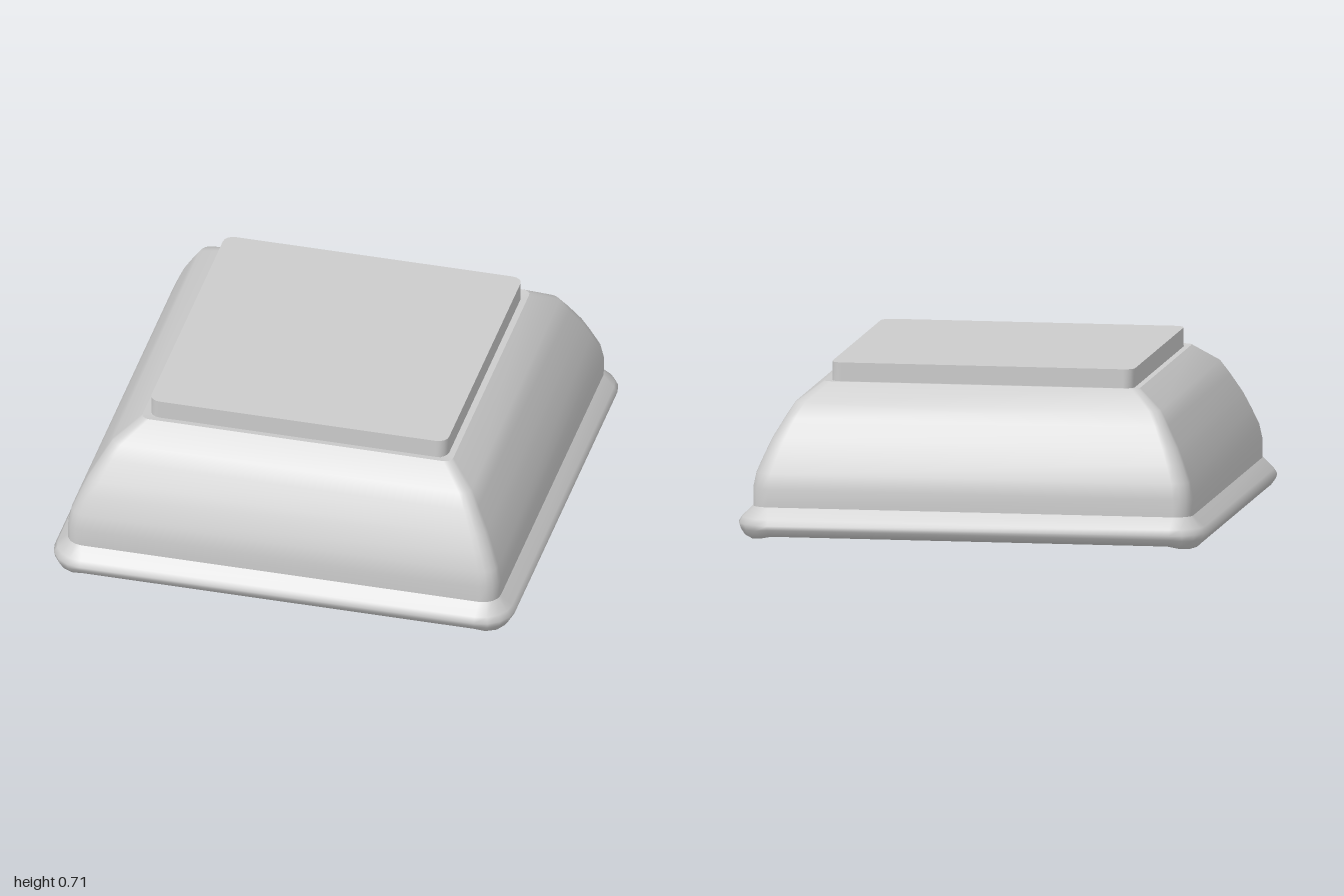
import * as THREE from 'three';

const STEPS = 4; // segments per rounded corner

// Rounded-square rings swept through profile points [halfWidth, y, cornerRadius, cornerDrop]
function loft(profile) {
  const pos = [], index = [];
  const n = 4 * (STEPS + 1);
  for (const [r, y, c, drop = 0] of profile) {
    for (let k = 0; k < 4; k++) {
      const mid = Math.PI / 4 + k * Math.PI / 2;
      const cx = Math.sign(Math.cos(mid)) * (r - c), cz = Math.sign(Math.sin(mid)) * (r - c);
      for (let s = 0; s <= STEPS; s++) {
        const a = (k + s / STEPS) * Math.PI / 2;
        const dip = drop * Math.sin(Math.PI * s / STEPS);
        pos.push(cx + c * Math.cos(a), y - dip, cz + c * Math.sin(a));
      }
    }
  }
  for (let i = 0; i < profile.length - 1; i++) {
    for (let j = 0; j < n; j++) {
      const a = i * n + j, b = i * n + (j + 1) % n;
      index.push(a, a + n, b, b, a + n, b + n);
    }
  }
  const g = new THREE.BufferGeometry();
  g.setAttribute('position', new THREE.Float32BufferAttribute(pos, 3));
  g.setIndex(index);
  g.computeVertexNormals();
  return g;
}

export function createModel() {
  const model = new THREE.Group();
  const material = new THREE.MeshStandardMaterial({ color: 0xcccccc, side: THREE.DoubleSide });

  // Each strip is smooth in itself; edges between strips stay sharp
  function part(name, ...strips) {
    const group = new THREE.Group();
    group.name = name;
    strips.forEach((strip, i) => {
      const mesh = new THREE.Mesh(loft(strip), material);
      mesh.name = name + 'Surface' + (i + 1);
      group.add(mesh);
    });
    model.add(group);
  }

  // Hollow inside: recessed ceiling, its short wall, a ledge, then the flaring inner wall
  part('innerShell',
    [[0, 0.675, 0], [0.62, 0.675, 0.04]],
    [[0.62, 0.675, 0.04], [0.625, 0.615, 0.04]],
    [[0.625, 0.615, 0.04], [0.67, 0.612, 0.04]],
    [[0.67, 0.612, 0.04], [0.76, 0.545, 0.045], [0.795, 0.49, 0.05], [0.843, 0.41, 0.055], [0.878, 0.335, 0.06]]);

  // Steep band inside the opening, flaring out to the edge of the rim
  part('innerLip',
    [[0.878, 0.335, 0.06], [0.904, 0.26, 0.065], [0.912, 0.13, 0.075], [0.964, 0.015, 0.12, 0.014]]);

  // Rolled rim with an undercut, dropping slightly at the corners
  part('rim',
    [[0.964, 0.015, 0.12, 0.014], [0.975, 0.022, 0.125, 0.013], [0.992, 0.045, 0.135, 0.006],
      [1, 0.064, 0.145], [0.985, 0.088, 0.13], [0.937, 0.135, 0.075]]);

  // Outer wall curving inwards, closed by a narrow shoulder around the foot
  part('outerShell',
    [[0.937, 0.135, 0.075], [0.937, 0.21, 0.075], [0.924, 0.275, 0.07], [0.893, 0.35, 0.065],
      [0.864, 0.415, 0.06], [0.815, 0.5, 0.05], [0.778, 0.56, 0.045], [0.673, 0.638, 0.035]],
    [[0.673, 0.638, 0.035], [0.645, 0.635, 0.035]]);

  // Square foot plate
  part('foot',
    [[0.645, 0.635, 0.045], [0.645, 0.715, 0.045]],
    [[0.645, 0.715, 0.045], [0, 0.715, 0]]);

  return model;
}
